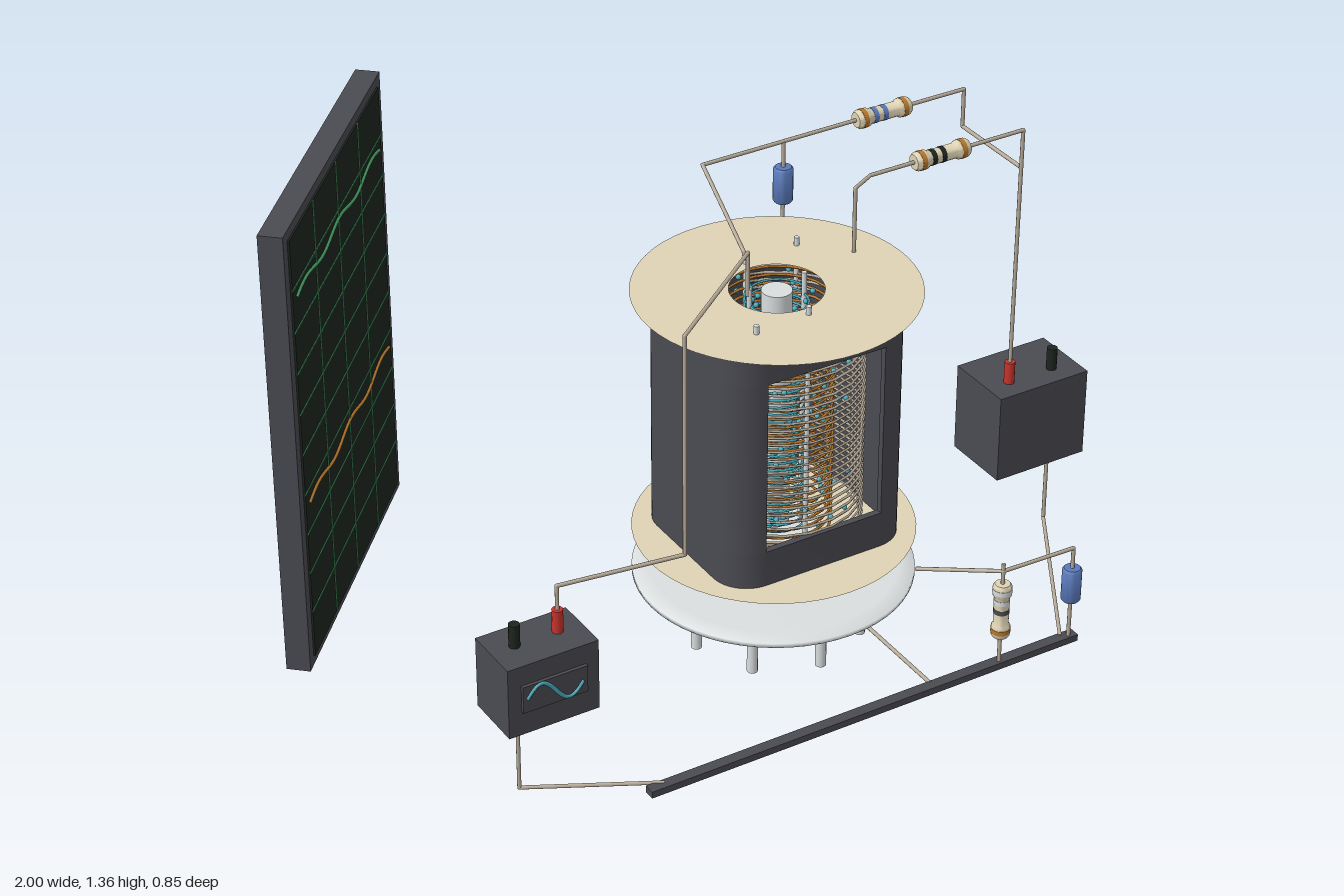
import * as THREE from 'three';
import { mergeGeometries, toCreasedNormals } from 'three/addons/utils/BufferGeometryUtils.js';

const mat = (name, color, side = THREE.FrontSide) => {
  const m = new THREE.MeshStandardMaterial({ color, side });
  m.name = name;
  return m;
};
const V = (x, y, z) => new THREE.Vector3(x, y, z);

export function createModel() {
  const root = new THREE.Group();
  root.name = 'tubeAmplifierCircuit';
  const M = {
    charcoal: mat('charcoal', 0x4a4a52),
    black: mat('screenBlack', 0x1d251e),
    green: mat('gridGreen', 0x43985f),
    teal: mat('teal', 0x4aaec0),
    orange: mat('orange', 0xb8782c),
    tan: mat('mica', 0xdfd3b4, THREE.DoubleSide),
    pale: mat('paleGrey', 0xdadedf),
    wire: mat('leadWire', 0xb8ac9a),
    blue: mat('capacitorBlue', 0x5a7abc),
    red: mat('terminalRed', 0xc8342c),
  };
  const group = (name, x, y, z, parent) => {
    const g = new THREE.Group();
    g.name = name;
    g.position.set(x, y, z);
    parent.add(g);
    return g;
  };
  const circuit = group('circuit', 0.003, 0, 0, root);
  const add = (name, geo, material, parent = circuit, x = 0, y = 0, z = 0) => {
    const m = new THREE.Mesh(geo, material);
    m.name = name;
    m.position.set(x, y, z);
    parent.add(m);
  };
  const box = (w, h, d) => new THREE.BoxGeometry(w, h, d);
  const rod = (r, y0, y1, seg = 12) =>
    new THREE.CylinderGeometry(r, r, y1 - y0, seg).translate(0, (y0 + y1) / 2, 0);

  // Bent wire: straight cylinders with small balls at the bends
  const lead = (name, ...pts) => {
    const p = pts.map(a => V(...a)), parts = [], r = 0.0045;
    for (let i = 0; i < p.length - 1; i++) {
      const dir = p[i + 1].clone().sub(p[i]);
      const c = new THREE.CylinderGeometry(r, r, dir.length(), 8);
      c.applyQuaternion(new THREE.Quaternion().setFromUnitVectors(V(0, 1, 0), dir.clone().normalize()));
      const mid = p[i].clone().add(p[i + 1]).multiplyScalar(0.5);
      parts.push(c.translate(mid.x, mid.y, mid.z));
      if (i) parts.push(new THREE.SphereGeometry(r, 8, 6).translate(p[i].x, p[i].y, p[i].z));
    }
    add(name, mergeGeometries(parts), M.wire);
  };

  // Curve given by a function of t
  const tube = (fn, seg, r, sides = 5) => {
    const c = new THREE.Curve();
    c.getPoint = (t, target = V(0, 0, 0)) => target.copy(fn(t));
    return new THREE.TubeGeometry(c, seg, r, sides, false);
  };

  // ---- Vacuum tube ----
  const CX = 0.154, CZ = 0.075, Y0 = 0.319, Y1 = 0.894;
  const valve = group('vacuumTube', CX, 0, CZ, circuit);

  // Anode shell: rounded box walls with a front window
  const outline = (hx, hy, r) => {
    const pts = [];
    [[1, -1], [1, 1], [-1, 1], [-1, -1]].forEach(([sx, sy], k) => {
      for (let i = 0; i <= 8; i++) {
        const a = (k - 1 + i / 8) * Math.PI / 2;
        pts.push(new THREE.Vector2(sx * (hx - r) + r * Math.cos(a), sy * (hy - r) + r * Math.sin(a)));
      }
    });
    return pts;
  };
  const outer = outline(0.222, 0.196, 0.08), inner = outline(0.207, 0.181, 0.065);
  const wall = (shape, y0, y1) => toCreasedNormals(
    new THREE.ExtrudeGeometry(shape, { depth: y1 - y0, bevelEnabled: false })
      .rotateX(-Math.PI / 2).translate(0, y0, 0), 0.6);
  const ring = new THREE.Shape(outer);
  ring.holes.push(new THREE.Path(inner));
  const cSection = new THREE.Shape([...outer, ...inner.slice().reverse()]);
  add('anodeBottomBand', wall(ring, Y0, 0.403), M.charcoal, valve);
  add('anodeWalls', wall(cSection, 0.403, 0.81), M.charcoal, valve);
  add('anodeTopBand', wall(ring, 0.81, Y1), M.charcoal, valve);

  // Mica spacer discs
  for (const [name, y] of [['upperMica', Y1 + 0.002], ['lowerMica', Y0 - 0.002]])
    add(name, new THREE.RingGeometry(0.1, 0.305, 56).rotateX(-Math.PI / 2), M.tan, valve, 0, y, 0);

  // Cathode and three wound grids with their support rods
  add('cathode', rod(0.033, 0.325, 0.893, 20), M.pale, valve);
  const grids = [
    ['controlGrid', 0.067, 32, M.teal, 0],
    ['screenGrid', 0.122, 28, M.orange, Math.PI / 2],
    ['suppressorGrid', 0.187, 32, M.wire, Math.PI / 4],
  ];
  for (const [name, r, turns, material, angle] of grids) {
    const helix = t => {
      const a = t * turns * Math.PI * 2;
      return V(r * Math.cos(a), Y0 + 0.012 + t * (Y1 - Y0 - 0.024), r * Math.sin(a));
    };
    add(name, tube(helix, turns * 22, 0.003, 4), material, valve);
    for (const s of [-1, 1])
      add(name + 'Rod', rod(0.006, 0.31, 0.915, 8), M.pale, valve,
        s * r * Math.cos(angle), 0, -s * r * Math.sin(angle));
  }

  // Electrons drifting from the cathode to the anode, on a golden-angle spiral
  const electrons = [];
  for (let i = 0; i < 220; i++) {
    const a = i * 2.39996, r = 0.042 + 0.125 * ((i * 0.754878) % 1) ** 1.4;
    const y = Y0 + 0.02 + (Y1 - Y0 - 0.03) * ((i * 0.569841) % 1);
    electrons.push(new THREE.IcosahedronGeometry(0.006, 1).translate(r * Math.cos(a), y, r * Math.sin(a)));
  }
  add('electrons', mergeGeometries(electrons), M.teal, valve);

  // Glass base and seven pins, with the gap at the back
  const baseProfile = [[0, 0.198], [0.27, 0.198], [0.305, 0.205], [0.305, 0.215], [0.27, 0.222], [0, 0.222]]
    .map(p => new THREE.Vector2(...p));
  add('glassBase', new THREE.LatheGeometry(baseProfile, 56), M.pale, valve);
  for (let i = 0; i < 7; i++) {
    const a = i * Math.PI / 4;
    add('basePin', rod(0.012, 0.062, 0.205), M.pale, valve, 0.193 * Math.cos(a), 0, 0.193 * Math.sin(a));
  }

  // ---- Oscilloscope screen ----
  const scope = group('oscilloscope', -0.749, 0.868, -0.153, root);
  scope.rotation.y = 0.835;
  add('screenCasing', box(0.692, 0.992, 0.05), M.charcoal, scope);
  add('screenFace', box(0.64, 0.95, 0.006), M.black, scope, 0, 0, 0.026);
  for (let i = -1; i <= 1; i++)
    add('verticalGridLine', box(0.004, 0.95, 0.003), M.green, scope, i * 0.16, 0, 0.0295);
  for (let i = -4; i <= 4; i++)
    add('horizontalGridLine', box(0.64, 0.004, 0.003), M.green, scope, 0, i * 0.0917, 0.0295);
  for (const [name, y, material] of [['outputTrace', 0.342, M.green], ['inputTrace', -0.123, M.orange]]) {
    const wave = t => V((t - 0.5) * 0.6, y + 0.009 * Math.sin(t * Math.PI * 5), 0.03);
    add(name, tube(wave, 60, 0.004), material, scope);
  }

  // ---- Signal generator and battery ----
  const terminal = (name, material, x, y, z) => add(name, rod(0.012, y, y + 0.055), material, circuit, x, 0, z);
  add('signalGenerator', box(0.21, 0.168, 0.135), M.charcoal, circuit, -0.525, 0.287, 0.255);
  add('generatorDisplay', box(0.15, 0.064, 0.008), M.charcoal, circuit, -0.525, 0.292, 0.326);
  const sine = t => V(-0.59 + t * 0.13, 0.292 + 0.028 * Math.sin(t * Math.PI * 2), 0.33);
  add('generatorSine', tube(sine, 32, 0.0045), M.teal);
  terminal('generatorRedTerminal', M.red, -0.475, 0.37, 0.252);
  terminal('generatorBlackTerminal', M.black, -0.575, 0.37, 0.252);
  add('battery', box(0.235, 0.213, 0.168), M.charcoal, circuit, 0.8795, 0.308, -0.037);
  terminal('batteryRedTerminal', M.red, 0.82, 0.413, -0.005);
  terminal('batteryBlackTerminal', M.black, 0.935, 0.413, -0.005);

  // Ground rail
  add('groundRail', box(1.08, 0.016, 0.026), M.charcoal, circuit, 0.19, 0.008, 0.4);

  // ---- Resistors and capacitors, built upright about their centre ----
  const resistor = (name, bands, x, y, z, lying) => {
    const g = group(name, x, y, z, circuit);
    if (lying) g.rotation.z = Math.PI / 2;
    const profile = [[0, -0.068], [0.017, -0.068], [0.021, -0.062], [0.021, -0.04], [0.017, -0.034],
      [0.017, 0.034], [0.021, 0.04], [0.021, 0.062], [0.017, 0.068], [0, 0.068]]
      .map(p => new THREE.Vector2(...p));
    add('resistorBody', toCreasedNormals(new THREE.LatheGeometry(profile, 18), 0.7), M.tan, g);
    bands.forEach((m, i) => {
      const y0 = [0.046, 0.018, -0.006, -0.056][i], r = i % 3 ? 0.0178 : 0.0218;
      add('colourBand', rod(r, y0, y0 + 0.011, 18), m, g);
    });
  };
  resistor('anodeResistor', [M.orange, M.black, M.black, M.orange], 0.607, 1.048, 0, true);
  resistor('screenResistor', [M.orange, M.blue, M.blue, M.orange], 0.607, 1.048, -0.222, true);
  resistor('cathodeResistor', [M.pale, M.pale, M.charcoal, M.orange], 0.527, 0.15, 0.402, false);

  const capacitor = (name, x, y, z) => {
    const profile = [[0, -0.042], [0.018, -0.042], [0.022, -0.037], [0.022, 0.037], [0.018, 0.042], [0, 0.042]]
      .map(p => new THREE.Vector2(...p));
    add(name, toCreasedNormals(new THREE.LatheGeometry(profile, 18), 0.8), M.blue, circuit, x, y, z);
  };
  capacitor('screenCapacitor', 0.355, 0.946, -0.22);
  capacitor('cathodeCapacitor', 0.711, 0.152, 0.403);

  // ---- Leads ----
  const G = 0.014, T = 1.048;
  lead('inputLead', [-0.475, 0.42, 0.252], [-0.475, 0.482, 0.252], [-0.197, 0.482, 0.29],
    [-0.197, 1.001, 0.29], [0.083, 1.001, 0.075], [0.083, 0.9, 0.075]);
  lead('screenLead', [0.154, 0.9, -0.048], [0.154, 0.92, -0.055], [0.154, T, -0.22], [0.545, T, -0.222]);
  lead('screenSupplyLead', [0.67, T, -0.222], [0.82, T, -0.222], [0.82, 0.957, -0.222], [0.82, 0.957, -0.004]);
  lead('anodeLead', [0.373, 0.885, 0.03], [0.373, T, 0.03], [0.43, T, 0], [0.545, T, 0]);
  lead('anodeSupplyLead', [0.67, T, 0], [0.82, T, 0], [0.82, 0.465, -0.005]);
  lead('screenBypassLead', [0.355, T, -0.22], [0.355, G, -0.22], [0.355, G, 0.39]);
  lead('cathodeLead', [0.41, 0.205, 0.245], [0.527, 0.25, 0.403], [0.711, 0.245, 0.403], [0.711, G, 0.403]);
  lead('cathodeResistorLead', [0.527, 0.268, 0.402], [0.527, G, 0.402]);
  lead('generatorGroundLead', [-0.575, 0.21, 0.255], [-0.575, G, 0.255], [-0.31, G, 0.395]);
  lead('batteryGroundLead', [0.937, 0.21, -0.005], [0.937, G, -0.005], [0.695, G, 0.395]);

  return root;
}
